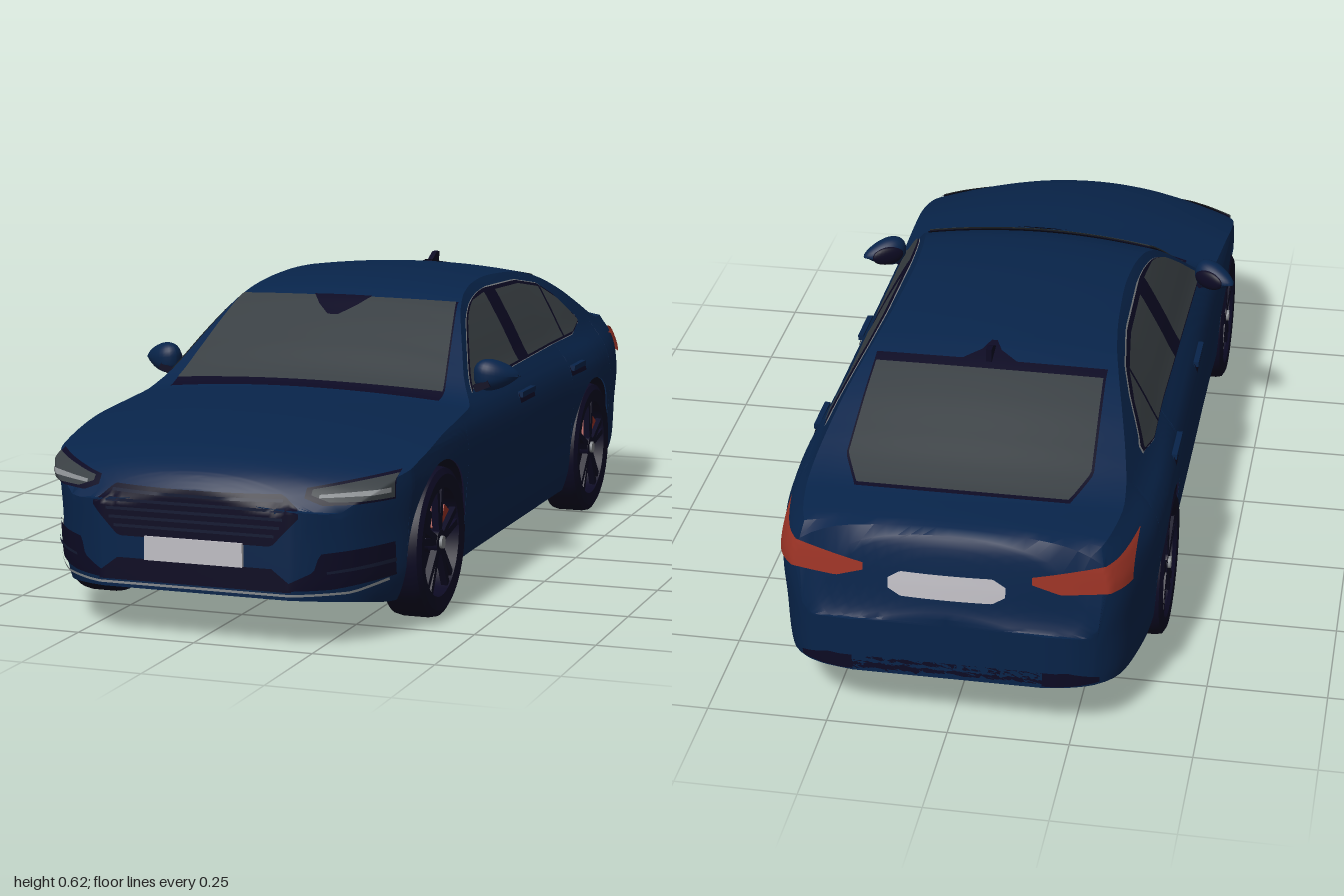
import * as THREE from 'three';
import { toCreasedNormals } from 'three/addons/utils/BufferGeometryUtils.js';

function mat(name, color) {
  const m = new THREE.MeshStandardMaterial({ color, side: THREE.DoubleSide });
  m.name = name;
  return m;
}
const paint = mat('blue paint', 0x08244a), black = mat('black trim', 0x0c0a23), glass = mat('grey glass', 0x393f43);
const red = mat('red', 0x9c3325), silver = mat('silver', 0x85898c), white = mat('plate white', 0xc0bec4);
const charcoal = mat('charcoal', 0x141a32);

// Piecewise curves through ascending points: straight, or monotone cubic
const line = (p) => (t) => {
  const i = p.findIndex((q) => q[0] >= t);
  if (i < 1) return p[i < 0 ? p.length - 1 : 0][1];
  return THREE.MathUtils.mapLinear(t, p[i - 1][0], p[i][0], p[i - 1][1], p[i][1]);
};
function smooth(p) {
  const d = p.slice(1).map((q, i) => (q[1] - p[i][1]) / (q[0] - p[i][0]));
  const m = p.map((_, i) => {
    const a = d[Math.max(i - 1, 0)], b = d[Math.min(i, d.length - 1)];
    return a * b <= 0 ? 0 : (2 * a * b) / (a + b);
  });
  return (t) => {
    const i = p.findIndex((q) => q[0] >= t) - 1;
    if (i < 0) return p[t <= p[0][0] ? 0 : p.length - 1][1];
    const h = p[i + 1][0] - p[i][0], s = (t - p[i][0]) / h, r = 1 - s;
    return p[i][1] * (1 + 2 * s) * r * r + m[i] * h * s * r * r + p[i + 1][1] * s * s * (3 - 2 * s) - m[i + 1] * h * s * s * r;
  };
}

// Body curves: centre-line height, its plan bow, half width, side section, lower edge
const crest = smooth([[-1, .26], [-.99, .29], [-.983, .35], [-.972, .42], [-.955, .446], [-.9, .456],
  [-.83, .464], [-.78, .479], [-.7, .513], [-.6, .555], [-.5, .588], [-.42, .605], [-.3, .617], [-.15, .622],
  [-.05, .619], [.05, .608], [.13, .586], [.2, .552], [.3, .496], [.4, .438], [.43, .428], [.5, .422],
  [.65, .411], [.8, .388], [.9, .364], [.96, .337], [.985, .312], [1, .285]]);
const bow = line([[-.27, -.35], [.27, .35], [.6, .35], [.9, .7]]);
const plan = smooth([[-1, .18], [-.98, .265], [-.95, .315], [-.9, .35], [-.82, .372], [-.7, .39], [-.55, .397],
  [-.3, .39], [.3, .39], [.6, .395], [.78, .385], [.86, .352], [.92, .31], [.96, .262], [.985, .22], [1, .18]]);
const section = smooth([[.06, .91], [.09, .945], [.14, .975], [.22, .985], [.3, 1], [.35, .988], [.39, .95],
  [.42, .89], [.44, .855], [.5, .775], [.55, .705], [.58, .66], [.605, .61], [.63, .52]]);
const sill = smooth([[-1, .13], [-.9, .115], [-.75, .1], [-.6, .08], [.6, .075], [.8, .07], [.9, .085], [1, .1]]);
const AXLES = [.625, -.53], HUB = .155, ARCH = .17;
const sideX = (y, z) => plan(z) * section(y);
const topY = (x, z) => crest(z + bow(z) * x * x) - .25 * x * x;
function lowerEdge(z) {
  const d = Math.min(...AXLES.map((a) => Math.abs(z - a)));
  return d < ARCH ? HUB + Math.sqrt(ARCH * ARCH - d * d) : sill(z);
}
// Last value from a towards b that passes the test
function bisect(a, b, test) {
  for (let i = 0; i < 24; i++) {
    const mid = (a + b) / 2;
    if (test(mid)) a = mid; else b = mid;
  }
  return a;
}
// Height where the flank meets the upper surface
const shoulder = (z) => bisect(.2, .63, (y) => y < topY(sideX(y, z), z));
// Depth of the body surface from the front (s = 1) or the back (s = -1)
function endZ(x, y, s) {
  const inside = (d) => Math.abs(x) <= sideX(y, s * d) && y <= topY(x, s * d);
  let d = .992;
  while (d > .5 && !inside(d)) d -= .004;
  return s * (d === .992 ? d : bisect(d, d + .004, inside));
}

// Surface through rows of points
function loft(rows) {
  const n = rows[0].length, index = [];
  for (let i = 0; i < rows.length - 1; i++) for (let a = i * n; a < i * n + n - 1; a++)
    index.push(a, a + 1, a + n + 1, a, a + n + 1, a + n);
  const g = new THREE.BufferGeometry();
  g.setAttribute('position', new THREE.Float32BufferAttribute(rows.flat(2), 3));
  g.setIndex(index);
  g.computeVertexNormals();
  return g;
}
// Thin panel between two outlines, laid on the body by place(a, b)
function band(a0, a1, lo, hi, place, nu = 32, nv = 10) {
  const l = line(lo), h = line(hi), lerp = THREE.MathUtils.lerp;
  return loft(Array.from({ length: nu + 1 }, (_, i) => {
    const a = lerp(a0, a1, i / nu);
    return Array.from({ length: nv + 1 }, (_, j) => place(a, lerp(l(a), h(a), j / nv)));
  }));
}
const onSide = (s, off) => (z, y) => {
  const yy = Math.min(y, shoulder(z) - .016);
  return [s * (sideX(yy, z) + off), yy, z];
};
const onEnd = (s, off) => (x, y) => [x + Math.sign(x) * Math.min(off, Math.abs(x) * .03), y, endZ(x, y, s) + s * off];
const onTop = (off, bend) => (a, x) => [x, topY(x, a - bend * x * x) + off, a - bend * x * x];
const shift = (pts, d) => pts.map(([a, b]) => [a, b + d]);

export function createModel() {
  const car = new THREE.Group();
  car.name = 'car';
  const add = (name, geo, m, parent = car) => {
    const mesh = new THREE.Mesh(geo, m);
    mesh.name = name;
    parent.add(mesh);
    return mesh;
  };
  const box = (name, m, size, pos, parent) => {
    const mesh = add(name, new THREE.BoxGeometry(...size), m, parent);
    mesh.position.set(...pos);
    return mesh;
  };
  const group = (name, pos, parent = car) => {
    const g = new THREE.Group();
    g.name = name;
    g.position.set(...pos);
    parent.add(g);
    return g;
  };

  // Stations along the car, closer at the ends and around the wheel arches
  const zs = [];
  for (let i = 0; i <= 96; i++) zs.push(-.96 + i * .02);
  for (let i = 1; i <= 9; i++) zs.push(-.96 - i * .004, .96 + i * .0035);
  for (const a of AXLES) {
    for (let i = 0; i <= 24; i++) zs.push(a + ARCH * .9999 * Math.cos((i * Math.PI) / 24));
    zs.push(a - ARCH - .0005, a + ARCH + .0005);
  }
  zs.sort((a, b) => a - b);
  const mirrored = (half) => [...half, ...half.slice(0, -1).reverse().map(([x, y, z]) => [-x, y, z])];

  // Painted shell
  const shell = zs.map((z) => {
    const yb = lowerEdge(z), ye = shoulder(z), xe = sideX(ye, z), half = [];
    for (let i = 0; i <= 22; i++) half.push([0, yb + ((ye - yb) * i) / 22, z]);
    for (const p of half) p[0] = sideX(p[1], z);
    for (let i = 11; i >= 0; i--) half.push([(xe * i) / 12, topY((xe * i) / 12, z), z]);
    return mirrored(half);
  });
  const cap = (row) => row.map(([, y, z]) => [0, y, z]);
  add('bodyShell', toCreasedNormals(loft([cap(shell[0]), ...shell, cap(shell.at(-1))]), .6), paint);

  // Floor and wheel wells
  add('underbody', toCreasedNormals(loft(zs.map((z) => {
    const yb = lowerEdge(z), yf = Math.min(yb, sill(z)), x = sideX(yb, z) - .003, xi = Math.min(.27, x);
    return mirrored([[x, yb, z], [xi, yb, z], [xi, yf, z], [0, yf, z]]);
  })), .5), black);

  // Windscreen and rear window with dark surrounds
  const screen = [[.145, .252], [.41, .305]], rear = [[-.835, .215], [-.76, .25], [-.53, .24]];
  const pane = (name, z0, z1, w, off, bend, m) =>
    add(name, band(z0, z1, w.map(([a, x]) => [a, -x]), w, onTop(off, bend), 28, 20), m);
  pane('windscreenFrame', .138, .45, shift(screen, .003), .004, .5, black);
  pane('windscreen', .145, .415, screen, .008, .5, glass);
  pane('mirrorShade', .146, .215, [[.146, .068], [.18, .045], [.215, .012]], .011, .3, black);
  pane('rearWindowFrame', -.838, -.5, shift(rear, .005), .004, -.4, black);
  pane('rearWindow', -.832, -.53, rear, .008, -.4, glass);
  pane('rearHeaderPoint', -.51, -.44, [[-.51, .07], [-.47, .02], [-.44, .006]], .005, 0, black);
  const finShape = new THREE.Shape([[0, 0], [.075, 0], [.02, .028], [0, .028]].map((p) => new THREE.Vector2(...p)));
  const fin = add('roofFin', new THREE.ExtrudeGeometry(finShape, { depth: .012, bevelEnabled: false }), black);
  fin.rotation.y = -Math.PI / 2;
  fin.position.set(.006, .592, -.51);

  // Symmetrical panels on the nose and tail, outlined from the centre outwards
  const both = (p) => [...p.slice().reverse().map(([x, y]) => [-x, y]), ...p];
  const wide = (name, w, lo, hi, s, off, m, nv) => add(name, band(-w, w, both(lo), both(hi), onEnd(s, off), 50, nv), m);
  wide('grille', .215, [[.16, .204], [.215, .262]], [[.175, .304], [.215, .27]], 1, .003, black);
  for (let i = 0; i < 5; i++) {
    const y = .222 + i * .017, w = i ? .185 - Math.abs(i - 2.5) * .006 : .165;
    wide('grilleBar', w, [[w, y]], [[w, y + .006]], 1, .006, charcoal, 1);
  }
  wide('lowerIntake', .2, [[.2, .115]], [[.16, .16], [.2, .13]], 1, .004, black);
  wide('chromeLip', .35, [[.3, .107], [.35, .122]], [[.3, .112], [.35, .128]], 1, .006, silver, 1);
  box('frontPlate', white, [.208, .048, .008], [0, .183, .996]);
  wide('rearPlate', .115, [[.09, .313], [.115, .328]], [[.09, .367], [.115, .35]], -1, .006, white);
  wide('rearValance', .3, [[.3, .133]], [[.24, .165], [.3, .145]], -1, .004, black);

  for (const s of [1, -1]) {
    // Lamps, bumper vents and underside parts
    const endBand = (name, x0, x1, lo, hi, dir, off, m) =>
      add(name, band(x0, x1, lo, hi, (x, y) => onEnd(dir, off)(s * x, y)), m);
    endBand('headlampFrame', .215, .363, [[.215, .297], [.25, .283], [.363, .285]], [[.215, .315], [.363, .338]], 1, .004, black);
    endBand('headlamp', .225, .36, [[.225, .303], [.26, .29], [.36, .29]], [[.225, .313], [.36, .334]], 1, .008, glass);
    endBand('lampStrip', .24, .355, [[.24, .298], [.355, .301]], [[.24, .304], [.355, .311]], 1, .01, silver);
    endBand('bumperVent', .17, .36, [[.17, .118], [.27, .118], [.36, .13]],
      [[.17, .121], [.24, .155], [.25, .19], [.36, .198]], 1, .004, black);
    endBand('ventBlade', .26, .36, [[.26, .15], [.36, .158]], [[.26, .155], [.36, .166]], 1, .007, charcoal);
    endBand('tailLamp', .165, .353, [[.165, .358], [.22, .337], [.353, .338]], [[.165, .374], [.3, .395], [.353, .401]], -1, .006, red);
    box('lowerReflector', red, [.115, .01, .1], [s * .25, .108, -.85]);
    box('frontUndertray', black, [.105, .025, .35], [s * .247, .078, .64]);

    // Side windows: bright edge, dark surround, panes
    const wLo = [[-.58, .455], [-.5, .437], [.34, .424]];
    const wHi = [[-.58, .462], [-.5, .525], [-.43, .558], [-.3, .58], [-.05, .588], [.06, .58], [.15, .552], [.25, .497], [.34, .428]];
    const side = (name, z0, z1, lo, hi, off, m, n = 40) => add(name, band(z0, z1, lo, hi, onSide(s, off), n, 14), m);
    side('windowTrim', -.59, .345, shift(wLo, -.005), shift(wHi, .005), .003, silver);
    side('windowSurround', -.585, .342, shift(wLo, -.003), shift(wHi, .003), .005, black);
    for (const [z0, z1] of [[-.052, .33], [-.42, -.13], [-.575, -.43]])
      side('sideGlass', z0, z1, shift(wLo, .003), shift(wHi, -.004), .009, glass, 24);

    // Door handles
    for (const z of [.005, -.41]) {
      side('handleRecess', z - .055, z + .055, [[0, .354]], [[0, .374]], .003, black, 4);
      box('doorHandle', paint, [.012, .012, .1], [s * (sideX(.37, z) + .004), .372, z]);
    }

    // Door mirror, swept back and tapering to its outer end
    const mirror = group('doorMirror', [s * .391, .446, .252]);
    mirror.rotation.y = s * .55;
    const pod = new THREE.SphereGeometry(1, 28, 18), pos = pod.attributes.position;
    for (let i = 0; i < pos.count; i++) {
      const x = pos.getX(i), y = pos.getY(i);
      pos.setXYZ(i, s * x * .052, s * s * y * (.031 - x * .01) - x * (y < 0 ? -.004 : .006), pos.getZ(i) * (.029 - x * .006));
    }
    if (s < 0) pod.setIndex([...pod.index.array].reverse());
    pod.computeVertexNormals();
    add('mirrorShell', pod, paint, mirror);
    const back = add('mirrorGlass', new THREE.SphereGeometry(1, 20, 12), black, mirror);
    back.scale.set(.038, .022, .01);
    back.position.z = -.024;
    box('mirrorArm', black, [.06, .016, .035], [s * .355, .42, .272]).rotation.z = s * .4;

    // Wheels
    for (const z of AXLES) {
      const wheel = group('wheel', [s * .348, HUB, z]);
      const ring = [[.112, -.042], [.14, -.046], [.152, -.039], [.155, -.026], [.155, .026], [.152, .039], [.14, .046],
        [.118, .044], [.112, .036], [.112, -.042]].map((p) => new THREE.Vector2(...p));
      add('tyre', toCreasedNormals(new THREE.LatheGeometry(ring, 48), .6), black, wheel).rotation.z = Math.PI / 2;
      for (const [name, r, w, x, m] of [['brakeDisc', .066, .012, 0, black], ['axleStub', .022, .1, -.03, black],
        ['hub', .026, .02, .03, black], ['hubCap', .013, .006, .043, silver]]) {
        const disc = add(name, new THREE.CylinderGeometry(r, r, w, 28), m, wheel);
        disc.rotation.z = Math.PI / 2;
        disc.position.x = s * x;
      }
      for (let i = 0; i < 10; i++) {
        const arm = group('spoke', [0, 0, 0], wheel);
        arm.rotation.x = (Math.floor(i / 2) * Math.PI * 2) / 5 + (i % 2 ? .13 : -.13);
        box('spokeBar', black, [.014, .1, .014], [s * .032, .066, 0], arm);
      }
      box('brakeCaliper', red, [.032, .052, .034], [s * .012, .036, -.06], wheel).rotation.x = -.5;
    }
  }
  return car;
}
